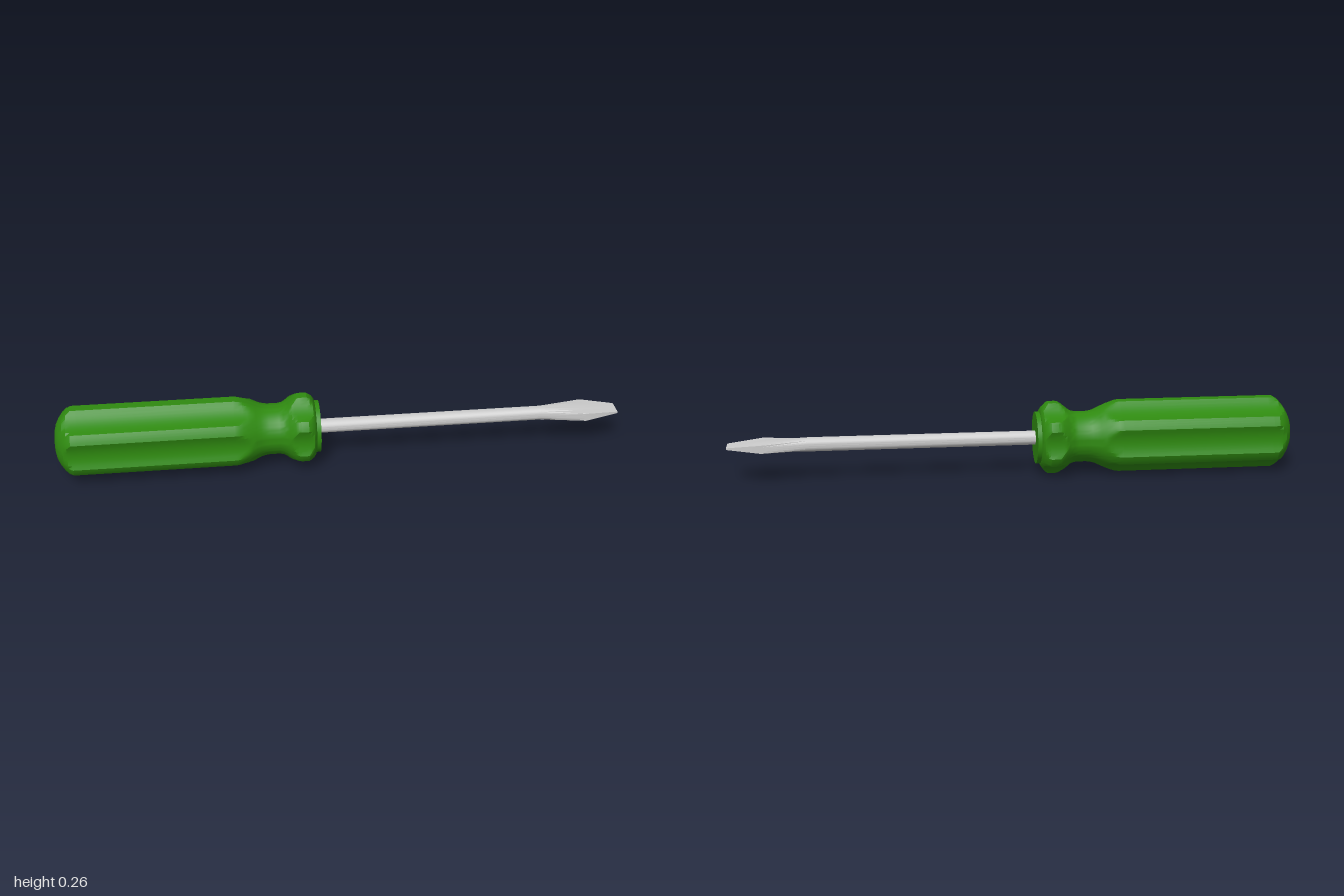
import * as THREE from 'three';
import { toCreasedNormals } from 'three/addons/utils/BufferGeometryUtils.js';

const AXIS_Y = 0.13;
const RAD = Math.PI / 180;

// Skins a row of rings (arrays of [x, y, z]) and closes both ends.
function loft(rings, crease) {
  const n = rings[0].length;
  const pos = rings.flat(2);
  const idx = [];
  for (let i = 0; i < rings.length - 1; i++) {
    for (let j = 0; j < n; j++) {
      const a = i * n + j, b = i * n + (j + 1) % n;
      idx.push(a, a + n, b + n, a, b + n, b);
    }
  }
  const last = (rings.length - 1) * n;
  const start = pos.length / 3;
  pos.push(rings[0][0][0], 0, 0, rings.at(-1)[0][0], 0, 0);
  for (let j = 0; j < n; j++) {
    const k = (j + 1) % n;
    idx.push(start, j, k, start + 1, last + k, last + j);
  }
  const g = new THREE.BufferGeometry();
  g.setAttribute('position', new THREE.Float32BufferAttribute(pos, 3));
  g.setIndex(idx);
  return toCreasedNormals(g, crease * RAD);
}

// Radius of the six-fluted grip; phi is measured from a flute's middle.
function gripRadius(phi) {
  const d = 0.226, R = 0.116;
  const s = d * Math.sin(phi);
  return Math.min(0.13, d * Math.cos(phi) - Math.sqrt(R * R - s * s));
}

function handleGeometry() {
  // Turned outline [x, radius]; the flutes are cut into it.
  const outline = [
    [-1, 0.045], [-0.995, 0.064], [-0.985, 0.084], [-0.97, 0.105], [-0.955, 0.121], [-0.94, 0.13],
    [-0.92, 0.13], [-0.38, 0.13], [-0.365, 0.128], [-0.35, 0.123], [-0.335, 0.117], [-0.32, 0.11],
    [-0.305, 0.103], [-0.29, 0.096], [-0.275, 0.092], [-0.26, 0.09], [-0.225, 0.09],
    [-0.21, 0.093], [-0.2, 0.098], [-0.19, 0.106], [-0.18, 0.114], [-0.17, 0.122], [-0.16, 0.128],
    [-0.15, 0.13], [-0.125, 0.13], [-0.115, 0.124], [-0.105, 0.112], [-0.097, 0.1], [-0.095, 0.092],
  ];
  const steps = [-30, -26, -22, -16.5, -11, -5.5, 0, 5.5, 11, 16.5, 22, 26];
  const rings = outline.map(([x, turned]) => {
    const ring = [];
    for (let lobe = 0; lobe < 6; lobe++) {
      for (const s of steps) {
        const a = (lobe * 60 + s) * RAD;
        const r = Math.min(turned, gripRadius(s * RAD));
        ring.push([x, r * Math.sin(a), r * Math.cos(a)]);
      }
    }
    return ring;
  });
  return loft(rings, 28);
}

// Ring of 24 points: round, or pressed out to a rectangle.
function bladeRing(x, halfY, halfZ, square) {
  return Array.from({ length: 24 }, (_, j) => {
    const s = Math.sin(j * 15 * RAD), c = Math.cos(j * 15 * RAD);
    const k = square ? Math.max(Math.abs(s), Math.abs(c)) : 1;
    return [x, halfY * s / k, halfZ * c / k];
  });
}

export function createModel() {
  const green = new THREE.MeshStandardMaterial({ color: 0x2f8a10 });
  const grey = new THREE.MeshStandardMaterial({ color: 0xcccccc });
  const model = new THREE.Group();
  model.name = 'screwdriver';

  const add = (name, geometry, material) => {
    const mesh = new THREE.Mesh(geometry, material);
    mesh.name = name;
    mesh.position.y = AXIS_Y;
    model.add(mesh);
    return mesh;
  };

  // Fluted grip with waist and flared guard
  add('handle', handleGeometry(), green);

  // Round collar at the front of the handle
  const collar = new THREE.CylinderGeometry(0.092, 0.092, 0.035, 48).rotateZ(-Math.PI / 2);
  add('collar', collar, green).position.x = -0.0975;

  // Round shaft pressed into a flared, tapering flat tip
  add('shaftAndBlade', loft([
    bladeRing(-0.1, 0.025, 0.025, false),
    bladeRing(0.72, 0.025, 0.025, false),
    bladeRing(0.88, 0.0145, 0.053, true),
    bladeRing(1, 0.003, 0.031, true),
  ], 25), grey);

  return model;
}
